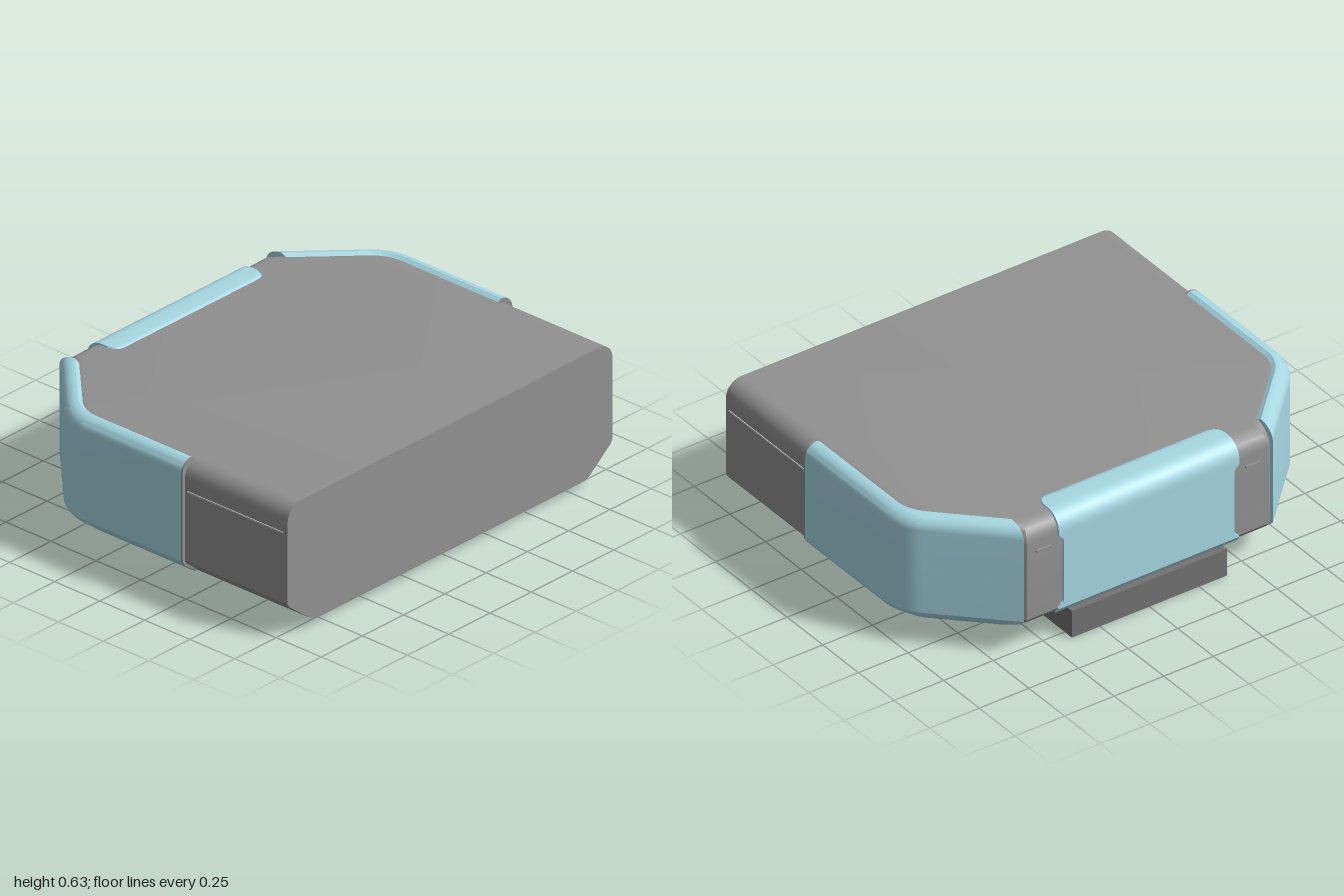
import * as THREE from 'three';
import { toCreasedNormals } from 'three/addons/utils/BufferGeometryUtils.js';

const paint = (color) => new THREE.MeshStandardMaterial({ color });
const grey = paint(0x919191);
const darkGrey = paint(0x727272);
const lightGrey = paint(0xcccccc);
const blue = paint(0xa6d8e2);

// Plan column: point (x, z), inward direction d, and slide s used for rounded pad corners
const col = (x, z, dx, dz, sx = 0, sz = 0) => ({ x, z, dx, dz, sx, sz });
const mirrorPath = (path) =>
  path.map((c) => col(-c.x, c.z, -c.dx, c.dz, -c.sx, c.sz)).reverse();

// Profile entry: [inset, height, slide]
const place = (c, [inset, y, slide = 0]) =>
  [c.x + c.dx * inset + c.sx * slide, y, c.z + c.dz * inset + c.sz * slide];

// Rounded bend between the straight side and the 45 degree rear diagonal
function bend() {
  const r = 0.25, cx = 0.735, cz = -0.3115, out = [];
  for (let i = 0; i <= 10; i++) {
    const a = (i / 10) * Math.PI / 4, c = Math.cos(a), s = Math.sin(a);
    out.push(col(cx + r * c, cz - r * s, -c, s));
  }
  return out;
}

// Quarter round from vertical wall to top
function topRound(inset, y, r) {
  const out = [];
  for (let i = 0; i <= 8; i++) {
    const a = (i / 8) * Math.PI / 2;
    out.push([inset + r - r * Math.cos(a), y - r + r * Math.sin(a)]);
  }
  return out;
}

function build(polys) {
  const pos = [];
  for (const p of polys)
    for (let i = 1; i < p.length - 1; i++) pos.push(...p[0], ...p[i], ...p[i + 1]);
  const g = new THREE.BufferGeometry();
  g.setAttribute('position', new THREE.Float32BufferAttribute(pos, 3));
  return toCreasedNormals(g, 0.5);
}

// Quads between neighbouring columns of points
function skin(cols) {
  const out = [];
  for (let i = 0; i < cols.length - 1; i++)
    for (let j = 0; j < cols[i].length - 1; j++)
      out.push([cols[i][j], cols[i + 1][j], cols[i + 1][j + 1], cols[i][j + 1]]);
  return out;
}

// Solid body: swept wall with flat top, bottom and front
function bodyGeometry(path, profile) {
  const cols = path.map((c) => profile.map((p) => place(c, p)));
  const last = profile.length - 1;
  return build([
    ...skin(cols),
    cols.map((c) => c[last]),
    cols.map((c) => c[0]).reverse(),
    [...cols[0], ...[...cols[cols.length - 1]].reverse()],
  ]);
}

// Pad: curved shell whose inner face sits inside the body
function padGeometry(path, outer) {
  const inner = outer.map(([i, y, s]) => [i + 0.03, 0.35 + (y - 0.35) * 0.93, s]);
  const loop = [...outer, ...[...inner].reverse(), outer[0]];
  const polys = skin(path.map((c) => loop.map((p) => place(c, p))));
  [path[0], path[path.length - 1]].forEach((c, end) => {
    for (let j = 0; j < outer.length - 1; j++) {
      const q = [outer[j], outer[j + 1], inner[j + 1], inner[j]].map((p) => place(c, p));
      polys.push(end ? q.reverse() : q);
    }
  });
  return build(polys);
}

export function createModel() {
  const model = new THREE.Group();
  const add = (name, geometry, material) => {
    const m = new THREE.Mesh(geometry, material);
    m.name = name;
    model.add(m);
    return m;
  };

  // Housing
  const half = [col(0.985, 0.8, -1, 0), ...bend(), col(0.61, -0.79, -Math.tan(Math.PI / 8), 1)];
  add('body', bodyGeometry([...half, ...mirrorPath(half)], [
    [0.155, 0.04], [0.14, 0.048], [0.012, 0.147], [0, 0.165],
    ...topRound(0, 0.618, 0.08),
  ]), grey);

  // Side pads wrapping the rear diagonals, each with a thin trim at its front edge
  const padFront = col(0.985, 0.222, -1, 0, 0, -1);
  const sidePath = [padFront, ...bend(), col(0.627, -0.773, 0, Math.SQRT2)];
  const trimPath = [{ ...padFront, z: 0.23 }, padFront];
  const sideProfile = [
    [0.1, 0.065, 0.045], [0.08, 0.08, 0.018], [0.05, 0.103, 0],
    [0, 0.142], [-0.015, 0.165], ...topRound(-0.015, 0.627, 0.06),
  ];
  add('leftPad', padGeometry(sidePath, sideProfile), blue);
  add('rightPad', padGeometry(mirrorPath(sidePath), sideProfile), blue);
  add('leftPadTrim', padGeometry(trimPath, sideProfile), grey);
  add('rightPadTrim', padGeometry(mirrorPath(trimPath), sideProfile), grey);

  // Rear pad folded over the top edge, with rounded corners and waisted sides
  const rearHalf = [col(0.455, -0.79, 0, 1, -1, 0)];
  add('rearPad', padGeometry([...rearHalf, ...mirrorPath(rearHalf)], [
    [0.042, 0.112, 0.03], [0.03, 0.122, 0.01], [0.005, 0.142], [-0.01, 0.165],
    [-0.01, 0.19, 0.025], [-0.01, 0.5, 0.025], [-0.01, 0.525],
    ...topRound(-0.01, 0.624, 0.08),
    [0.1, 0.624], [0.125, 0.624, 0.01], [0.141, 0.623, 0.025], [0.15, 0.621, 0.05],
  ]), blue);

  // Foot: plate under the base with a wedge filling the rear chamfer
  const footShape = new THREE.Shape([
    [0.51, 0], [0.802, 0], [0.802, 0.13], [0.74, 0.13], [0.63, 0.045], [0.51, 0.045],
  ].map(([a, b]) => new THREE.Vector2(a, b)));
  const foot = new THREE.ExtrudeGeometry(footShape, { depth: 0.78, bevelEnabled: false });
  foot.rotateY(Math.PI / 2).translate(-0.39, 0, 0);
  add('foot', foot, darkGrey);

  for (const side of [1, -1]) {
    const name = side > 0 ? 'left' : 'right';
    // Thin rib along the exposed side wall
    add(name + 'SideRib', new THREE.BoxGeometry(0.006, 0.006, 0.53), lightGrey)
      .position.set(side * 0.985, 0.49, 0.51);
    // Small latch tab beside the rear pad
    add(name + 'RearTab', new THREE.BoxGeometry(0.075, 0.008, 0.02), grey)
      .position.set(side * 0.528, 0.49, -0.79);
  }
  return model;
}
